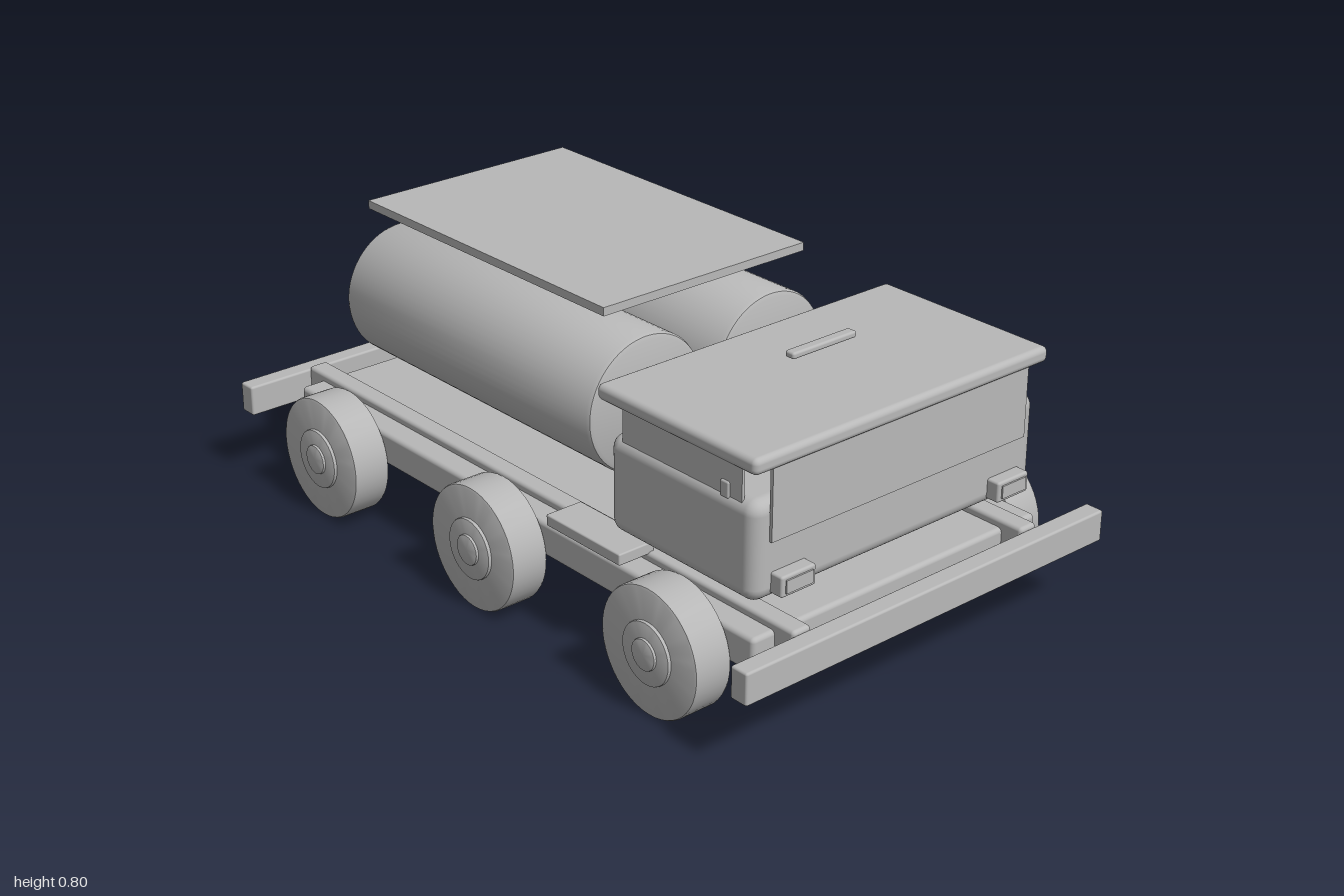
import * as THREE from 'three';
import { toCreasedNormals } from 'three/addons/utils/BufferGeometryUtils.js';
import { RoundedBoxGeometry } from 'three/addons/geometries/RoundedBoxGeometry.js';

const grey = new THREE.MeshStandardMaterial({ color: 0xb8b8b8 });
grey.name = 'plain grey';

// Box given by its limits on each axis, with an optional edge radius
function box(parent, name, [x0, x1], [y0, y1], [z0, z1], radius = 0) {
  const size = [x1 - x0, y1 - y0, z1 - z0];
  const geometry = radius
    ? new RoundedBoxGeometry(...size, 3, radius)
    : new THREE.BoxGeometry(...size);
  const mesh = new THREE.Mesh(geometry, grey);
  mesh.name = name;
  mesh.position.set((x0 + x1) / 2, (y0 + y1) / 2, (z0 + z1) / 2);
  parent.add(mesh);
  return mesh;
}

// Closed drum along y with softened rims
function drum(parent, name, r, y0, y1, bevel, segments = 48) {
  const profile = [
    [0, y0], [r - bevel, y0], [r - bevel * 0.3, y0 + bevel * 0.3], [r, y0 + bevel],
    [r, y1 - bevel], [r - bevel * 0.3, y1 - bevel * 0.3], [r - bevel, y1], [0, y1],
  ].map(([x, y]) => new THREE.Vector2(x, y));
  const mesh = new THREE.Mesh(toCreasedNormals(new THREE.LatheGeometry(profile, segments), 0.5), grey);
  mesh.name = name;
  parent.add(mesh);
  return mesh;
}

function createWheel(side, z) {
  const wheel = new THREE.Group();
  wheel.name = 'wheel';
  drum(wheel, 'tyre', 0.165, 0.465, 0.57, 0.008);
  drum(wheel, 'rim', 0.08, 0.5, 0.579, 0.003, 32);
  drum(wheel, 'hubCap', 0.04, 0.5, 0.586, 0.003, 24);
  wheel.rotation.z = -side * Math.PI / 2;
  wheel.position.set(0, 0.167, z);
  return wheel;
}

export function createModel() {
  const truck = new THREE.Group();
  truck.name = 'tankTruck';

  // Chassis with bumpers, side rails and steps
  const chassis = new THREE.Group();
  chassis.name = 'chassis';
  truck.add(chassis);
  box(chassis, 'deck', [-0.465, 0.465], [0.172, 0.262], [-0.89, 0.89], 0.012);
  box(chassis, 'frontBumper', [-0.586, 0.586], [0.19, 0.273], [0.948, 1], 0.006);
  box(chassis, 'rearBumper', [-0.586, 0.586], [0.19, 0.273], [-1, -0.948], 0.006);
  for (const s of [-1, 1]) {
    const span = (a, b) => (s > 0 ? [a, b] : [-b, -a]);
    box(chassis, 'rail', span(0.345, 0.4), [0.2, 0.283], [-0.95, 0.95], 0.01);
    box(chassis, 'step', span(0.38, 0.487), [0.277, 0.307], [0.19, 0.46], 0.004);
  }

  // Three axles with wheels
  for (const z of [-0.657, 0, 0.657]) {
    const axle = drum(chassis, 'axle', 0.015, -0.48, 0.48, 0.002, 16);
    axle.rotation.z = Math.PI / 2;
    axle.position.set(0, 0.168, z);
    for (const s of [-1, 1]) truck.add(createWheel(s, z));
  }

  // Cab with roof, glazing, mirrors and headlights
  const cab = new THREE.Group();
  cab.name = 'cab';
  truck.add(cab);
  box(cab, 'cabBody', [-0.456, 0.456], [0.333, 0.583], [0.383, 0.877], 0.035);
  box(cab, 'roof', [-0.47, 0.47], [0.662, 0.703], [0.36, 0.893], 0.015);
  box(cab, 'windscreen', [-0.41, 0.41], [0.483, 0.67], [0.876, 0.885]);
  box(cab, 'roofLight', [-0.102, 0.102], [0.74, 0.757], [0.593, 0.622], 0.006);
  for (const s of [-1, 1]) {
    const span = (a, b) => (s > 0 ? [a, b] : [-b, -a]);
    box(cab, 'sideWindow', span(0.439, 0.447), [0.56, 0.67], [0.427, 0.827]);
    box(cab, 'mirror', span(0.41, 0.452), [0.565, 0.607], [0.76, 0.788], 0.005);
    box(cab, 'headlight', span(0.298, 0.403), [0.352, 0.405], [0.87, 0.912], 0.006);
    box(cab, 'headlightLens', span(0.31, 0.391), [0.362, 0.395], [0.908, 0.916]);
  }

  // Twin tanks beneath a flat canopy
  const load = new THREE.Group();
  load.name = 'load';
  truck.add(load);
  for (const s of [-1, 1]) {
    const tank = drum(load, 'tank', 0.18, -0.775, 0.23, 0.014, 64);
    tank.rotation.x = Math.PI / 2;
    tank.position.set(s * 0.203, 0.524, 0);
  }
  box(load, 'canopy', [-0.323, 0.323], [0.779, 0.801], [-0.738, 0.213]);

  // Rear fittings
  box(truck, 'rearPanel', [-0.085, 0.085], [0.415, 0.525], [-0.837, -0.822], 0.003);
  box(truck, 'rearPlate', [-0.075, 0.075], [0.296, 0.326], [-0.926, -0.921]);
  box(truck, 'sidePanel', [0.449, 0.459], [0.318, 0.397], [-0.805, -0.698]);

  return truck;
}
